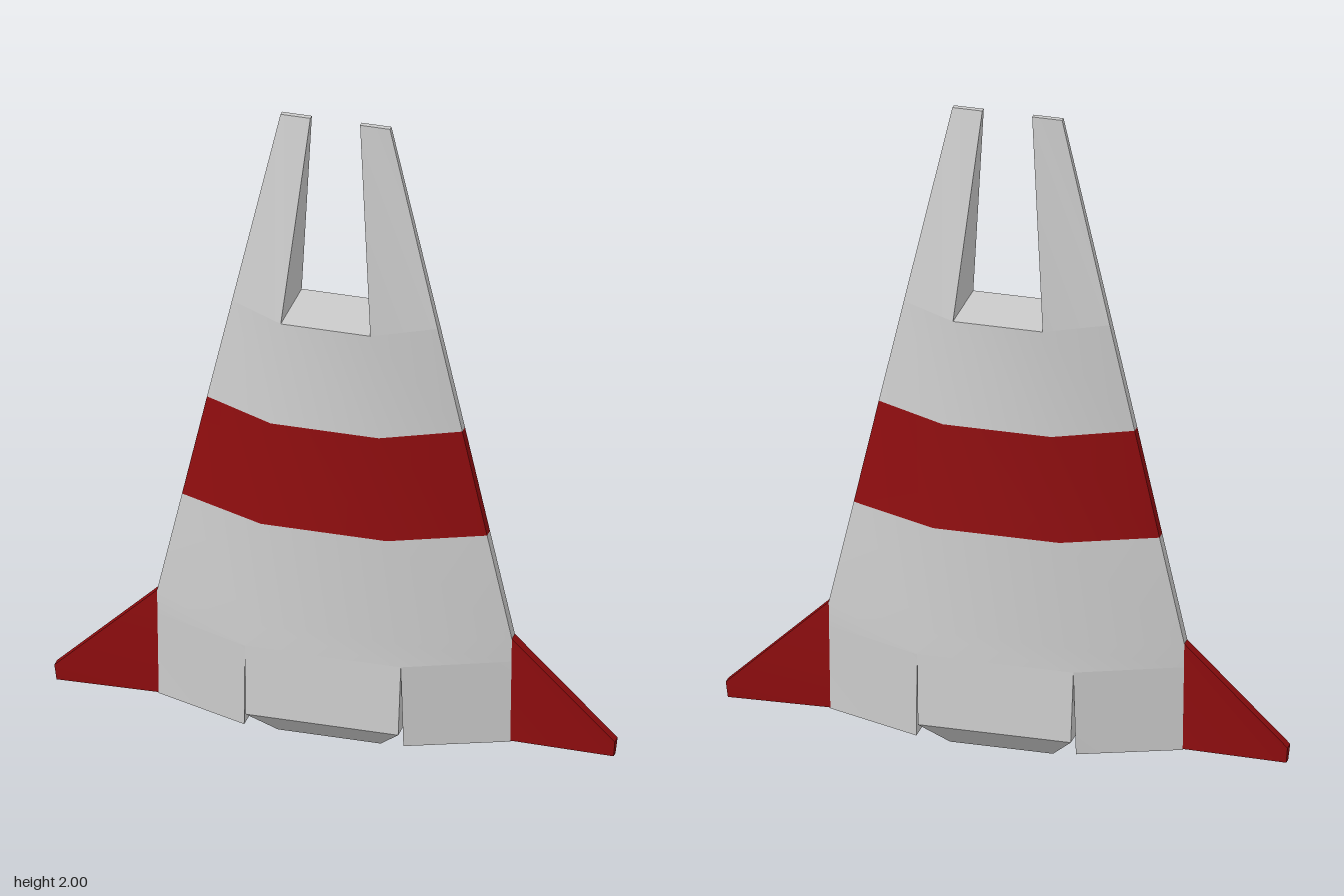
import * as THREE from 'three';
import { toCreasedNormals } from 'three/addons/utils/BufferGeometryUtils.js';

const grey = new THREE.MeshStandardMaterial({ color: 0xcccccc });
const red = new THREE.MeshStandardMaterial({ color: 0x8f0c0e });

// Skin rings of [x, y, z] points (bottom to top, turning from +x towards +z) and cap both ends
function loft(rings) {
  const n = rings[0].length, index = [];
  for (let r = 0; r < rings.length - 1; r++) {
    for (let i = 0; i < n; i++) {
      const a = r * n + i, b = r * n + (i + 1) % n;
      index.push(a, a + n, b + n, a, b + n, b);
    }
  }
  const top = (rings.length - 1) * n;
  for (let i = 1; i < n - 1; i++) {
    index.push(0, i, i + 1, top, top + i + 1, top + i);
  }
  const geometry = new THREE.BufferGeometry();
  geometry.setAttribute('position', new THREE.Float32BufferAttribute(rings.flat(2), 3));
  geometry.setIndex(index);
  return toCreasedNormals(geometry, 0.6);
}

// Hull section: narrow side edges (w, e) and a broad flat front and back (a, d)
const hullRing = ([y, w, e, a, d]) => [
  [w, y, e], [a, y, d], [-a, y, d], [-w, y, e],
  [-w, y, -e], [-a, y, -d], [a, y, -d], [w, y, -e],
];
// One-sided section: thin outer edge (w, e), deep inner edge (a, d)
const wedgeRing = ([y, w, e, a, d]) => [[w, y, e], [a, y, d], [a, y, -d], [w, y, -e]];
const boxRing = ([y, x, z]) => [[x, y, z], [-x, y, z], [-x, y, -z], [x, y, -z]];
const mirrorRing = (ring) => ring.map(([x, y, z]) => [-x, y, z]).reverse();

export function createModel() {
  const model = new THREE.Group();
  const add = (name, geometry, material) => {
    const mesh = new THREE.Mesh(geometry, material);
    mesh.name = name;
    model.add(mesh);
  };

  // Hull in three bands
  const s0 = [0.3, 0.534, 0.016, 0.235, 0.138];
  const s1 = [0.375, 0.535, 0.016, 0.225, 0.136];
  const s2 = [0.705, 0.46, 0.015, 0.19, 0.128];
  const s3 = [1.037, 0.385, 0.014, 0.163, 0.12];
  const s4 = [1.365, 0.31, 0.013, 0.135, 0.11];
  add('lowerHull', loft([s0, s1, s2].map(hullRing)), grey);
  add('hullStripe', loft([s2, s3].map(hullRing)), red);
  add('upperHull', loft([s3, s4].map(hullRing)), grey);

  // Tail block between the skirts, tapering to its foot
  add('tailBlock', loft([[0, 0.155, 0.07], [0.08, 0.23, 0.148], [0.3, 0.235, 0.138]].map(boxRing)), grey);

  // Twin prongs, and skirts with a recessed underside
  const prong = [s4, [2, 0.165, 0.008, 0.075, 0.008]].map(wedgeRing);
  const skirt = [
    [0.09, 0.5, 0.007, 0.252, 0.106],
    [0.035, 0.5, 0.007, 0.252, 0.106],
    [0.035, 0.53, 0.016, 0.24, 0.128],
    s0,
  ].map(wedgeRing);

  // Side fin, slimmer at its tip
  const fin = [
    [[0.84, 0.03, 0.01], [0.53, 0.038, 0.016]],
    [[0.845, 0.08, 0.015], [0.535, 0.375, 0.016]],
  ].map(([[x1, y1, z1], [x0, y0, z0]]) => [[x1, y1, z1], [x0, y0, z0], [x0, y0, -z0], [x1, y1, -z1]]);

  for (const [side, place] of [['left', (r) => r], ['right', mirrorRing]]) {
    add(side + 'Prong', loft(prong.map(place)), grey);
    add(side + 'Skirt', loft(skirt.map(place)), grey);
    add(side + 'Fin', loft(fin.map(place)), red);
  }
  return model;
}
